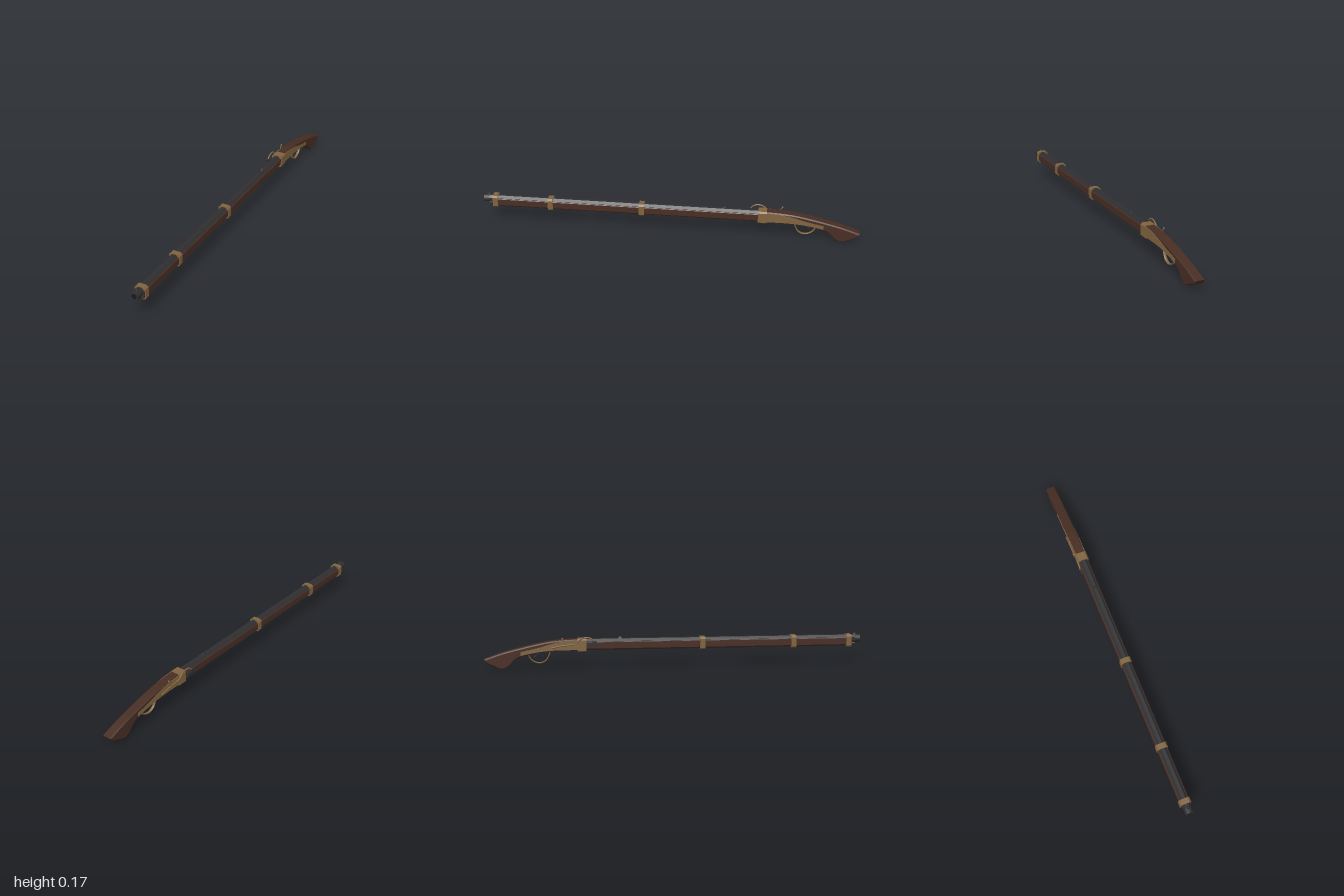
import * as THREE from 'three';

const CX = 0.004; // centre line of stock and barrel
const mat = (name, color, extra = {}) => {
  const m = new THREE.MeshStandardMaterial({ color, ...extra });
  m.name = name;
  return m;
};

export function createModel() {
  const wood = mat('dark wood', 0x472d23);
  const brass = mat('aged brass', 0x80633f);
  const steel = mat('dark steel', 0x2f2f32);
  const black = mat('bore black', 0x18181a);
  const root = new THREE.Group();
  root.name = 'musket';

  const add = (name, geo, material, x = 0, y = 0, z = 0) => {
    const mesh = new THREE.Mesh(geo, material);
    mesh.name = name;
    mesh.position.set(x, y, z);
    root.add(mesh);
    return mesh;
  };
  const box = (name, m, w, h, d, x, y, z) => add(name, new THREE.BoxGeometry(w, h, d), m, x, y, z);

  // Cylinder along z from z0 to z1
  const rod = (name, m, r, z0, z1, x, y, sides) => {
    const g = new THREE.CylinderGeometry(r, r, z1 - z0, sides);
    if (sides === 8) g.rotateY(Math.PI / 8);
    g.rotateX(Math.PI / 2);
    const geo = sides === 8 ? g.toNonIndexed() : g;
    if (sides === 8) geo.computeVertexNormals();
    return add(name, geo, m, x, y, (z0 + z1) / 2);
  };

  // Side outline given as [z, y], extruded across x
  const sideSolid = (name, m, shape, x0, x1, bevel) => {
    const g = new THREE.ExtrudeGeometry(shape, {
      depth: x1 - x0 - 2 * bevel, bevelEnabled: bevel > 0, bevelThickness: bevel,
      bevelSize: bevel, bevelOffset: -bevel, bevelSegments: 1, curveSegments: 10,
    });
    g.rotateY(Math.PI / 2);
    return add(name, g, m, x0 + bevel, 0, 0);
  };

  // Cross-section with cut corners, extruded along z
  const section = (name, m, w, y0, y1, cutTop, cutBottom, z0, z1) => {
    const h = w / 2, s = new THREE.Shape();
    s.moveTo(-h + cutBottom, y0);
    s.lineTo(h - cutBottom, y0);
    s.lineTo(h, y0 + cutBottom);
    s.lineTo(h, y1 - cutTop);
    s.lineTo(h - cutTop, y1);
    s.lineTo(-h + cutTop, y1);
    s.lineTo(-h, y1 - cutTop);
    s.lineTo(-h, y0 + cutBottom);
    s.closePath();
    return add(name, new THREE.ExtrudeGeometry(s, { depth: z1 - z0, bevelEnabled: false }), m, CX, 0, z0);
  };

  const v2 = (list) => list.map(([z, y]) => new THREE.Vector2(-z, y));
  const tube = (name, m, pts, r, x, flat = 1) => {
    const curve = new THREE.CatmullRomCurve3(pts.map(([z, y]) => new THREE.Vector3(0, y, z)));
    const g = new THREE.TubeGeometry(curve, 32, r, 8, false);
    g.scale(flat, 1, 1);
    g.computeVertexNormals();
    return add(name, g, m, x);
  };

  // Long fore-stock
  section('foreStock', wood, 0.052, 0.097, 0.142, 0.003, 0.009, -0.49, 0.955);

  // Curved butt stock
  const butt = new THREE.Shape();
  butt.moveTo(0.47, 0.097);
  butt.lineTo(0.47, 0.154);
  butt.splineThru(v2([[-0.55, 0.154], [-0.65, 0.146], [-0.75, 0.127], [-0.83, 0.108], [-0.91, 0.087], [-1.0, 0.056]]));
  butt.lineTo(0.985, 0.035);
  butt.lineTo(0.92, 0.004);
  butt.lineTo(0.895, 0.002);
  butt.lineTo(0.865, 0.022);
  butt.splineThru(v2([[-0.84, 0.05], [-0.81, 0.066], [-0.75, 0.081], [-0.68, 0.092], [-0.6, 0.097], [-0.5, 0.097]]));
  butt.closePath();
  sideSolid('buttStock', wood, butt, -0.022, 0.030, 0.006);

  // Brass side plates on both flanks
  const plate = new THREE.Shape();
  plate.moveTo(0.49, 0.099);
  plate.lineTo(0.49, 0.152);
  plate.splineThru(v2([[-0.58, 0.147], [-0.65, 0.134], [-0.72, 0.114], [-0.81, 0.094]]));
  plate.lineTo(0.81, 0.074);
  plate.splineThru(v2([[-0.75, 0.086], [-0.68, 0.096], [-0.6, 0.1], [-0.49, 0.099]]));
  plate.closePath();
  sideSolid('leftSidePlate', brass, plate, 0.027, 0.032, 0);
  sideSolid('rightSidePlate', brass, plate, -0.024, -0.019, 0);

  // Barrel, bore and ramrod
  rod('barrel', steel, 0.0225, -0.48, 0.972, CX, 0.134, 8);
  rod('muzzleRing', steel, 0.0215, 0.972, 1.0, CX, 0.134, 16);
  rod('bore', black, 0.0135, 0.99, 1.0005, CX, 0.134, 16);
  rod('ramrod', steel, 0.009, 0.9, 0.975, CX, 0.107, 12);

  // Brass bands and the wider breech band
  for (const z of [0.937, 0.637, 0.147])
    section('barrelBand', brass, 0.058, 0.092, 0.157, 0.009, 0.007, z - 0.014, z + 0.014);
  section('breechBand', brass, 0.061, 0.09, 0.158, 0.008, 0.006, -0.513, -0.467);

  // Sights
  const sight = (name, z, len, top) => {
    const g = new THREE.CylinderGeometry(0.002, 0.008, top - 0.15, 4);
    g.rotateY(Math.PI / 4);
    g.scale(1, 1, len / 0.0113);
    add(name, g.toNonIndexed(), steel, CX, (top + 0.15) / 2, z).geometry.computeVertexNormals();
  };
  sight('frontSight', 0.972, 0.022, 0.164);
  sight('rearSight', -0.29, 0.03, 0.165);

  // Trigger guard and trigger
  tube('triggerGuard', brass, [[-0.655, 0.097], [-0.664, 0.07], [-0.68, 0.043], [-0.71, 0.030],
    [-0.742, 0.038], [-0.763, 0.058], [-0.772, 0.084]], 0.0032, 0.006, 2.4);
  tube('trigger', steel, [[-0.715, 0.092], [-0.727, 0.073], [-0.742, 0.06]], 0.003, 0.006);

  // Lock on the right flank: lever, arched match arm, jaws and pan
  tube('lockLever', brass, [[-0.65, 0.112], [-0.6, 0.123], [-0.55, 0.128], [-0.51, 0.132]], 0.004, -0.028);
  tube('matchArm', brass, [[-0.525, 0.128], [-0.505, 0.15], [-0.485, 0.163], [-0.46, 0.166],
    [-0.44, 0.159], [-0.425, 0.143]], 0.004, -0.030);
  const pivot = new THREE.CylinderGeometry(0.009, 0.009, 0.012, 14);
  pivot.rotateZ(Math.PI / 2);
  add('lockPivot', pivot, brass, -0.028, 0.129, -0.525);
  box('matchJaws', steel, 0.010, 0.016, 0.022, -0.031, 0.139, -0.425);
  box('flashPan', steel, 0.014, 0.016, 0.055, -0.026, 0.124, -0.43);
  box('panCover', steel, 0.012, 0.004, 0.03, -0.024, 0.134, -0.445);

  // Upright pin with a ball tip behind the breech
  tube('pin', brass, [[-0.575, 0.128], [-0.582, 0.145], [-0.592, 0.161]], 0.0028, -0.027);
  add('pinBall', new THREE.SphereGeometry(0.005, 10, 8), brass, -0.027, 0.161, -0.592);

  return root;
}
